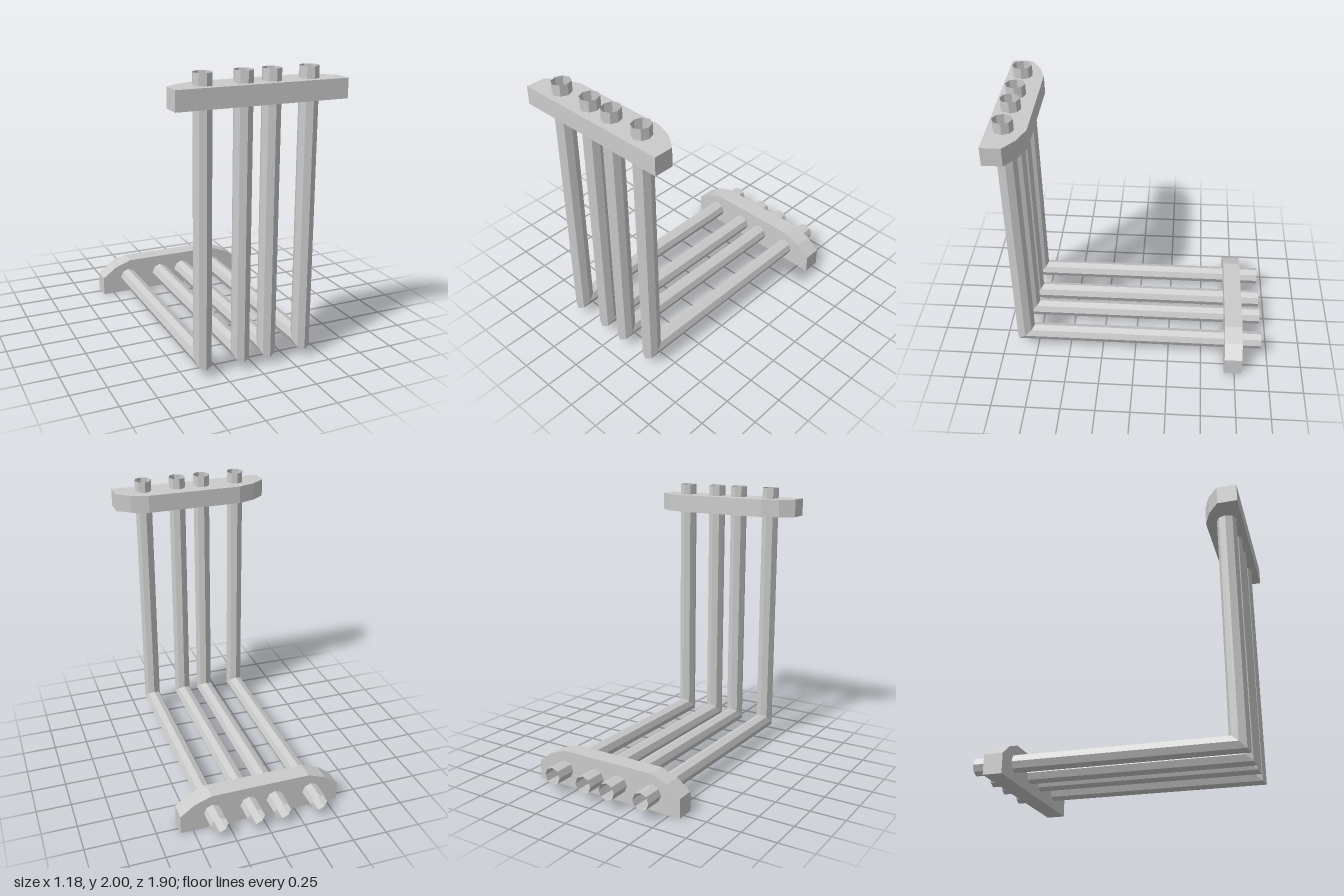
import * as THREE from 'three';

const grey = new THREE.MeshStandardMaterial({ color: 0xcccccc, flatShading: true });
const greyOpen = new THREE.MeshStandardMaterial({ color: 0xcccccc, flatShading: true, side: THREE.DoubleSide });

// Plate with a straight edge and a chamfered opposite edge, extruded to its thickness
function plateGeometry() {
  const half = [[0.586, 0], [0.586, 0.138], [0.487, 0.213], [0.36, 0.26]];
  const mirrored = half.map(([x, y]) => [-x, y]).reverse();
  const shape = new THREE.Shape([...half, ...mirrored].map(([x, y]) => new THREE.Vector2(x, y)));
  return new THREE.ExtrudeGeometry(shape, { depth: 0.131, bevelEnabled: false });
}

// Open octagonal pipe: runs down, turns through a mitred corner, then runs to the back
function pipeGeometry() {
  const sides = 8, r = 0.063, rz = 0.069, zc = 0.839, yc = 0.124;
  const rings = [
    (c, s) => [r * c, 2, zc + rz * s],
    (c, s) => [r * c, yc - r * s, zc + rz * s],
    (c, s) => [r * c, yc - r * s, -0.95],
  ];
  const point = (i, j) => {
    const a = (j % sides) / sides * Math.PI * 2;
    return rings[i](Math.cos(a), Math.sin(a));
  };
  const pos = [];
  for (let i = 0; i < rings.length - 1; i++) {
    for (let j = 0; j < sides; j++) {
      const a = point(i, j), b = point(i, j + 1), c = point(i + 1, j + 1), d = point(i + 1, j);
      pos.push(...a, ...b, ...d, ...b, ...c, ...d);
    }
  }
  const geo = new THREE.BufferGeometry();
  geo.setAttribute('position', new THREE.Float32BufferAttribute(pos, 3));
  geo.computeVertexNormals();
  return geo;
}

export function createModel() {
  const model = new THREE.Group();
  model.name = 'bentPipeRack';

  // Four bent pipes
  const pipe = pipeGeometry();
  [-0.374, -0.101, 0.093, 0.358].forEach((x, i) => {
    const mesh = new THREE.Mesh(pipe, greyOpen);
    mesh.name = `pipe${i + 1}`;
    mesh.position.x = x;
    model.add(mesh);
  });

  // Upright bracket at the back
  const back = new THREE.Mesh(plateGeometry(), grey);
  back.name = 'backBracket';
  back.position.set(0.004, 0, -0.803);
  model.add(back);

  // Flat bracket near the top, straight edge to the front
  const top = new THREE.Mesh(plateGeometry(), grey);
  top.name = 'topBracket';
  top.rotation.x = -Math.PI / 2;
  top.position.set(-0.007, 1.79, 0.95);
  model.add(top);

  return model;
}
